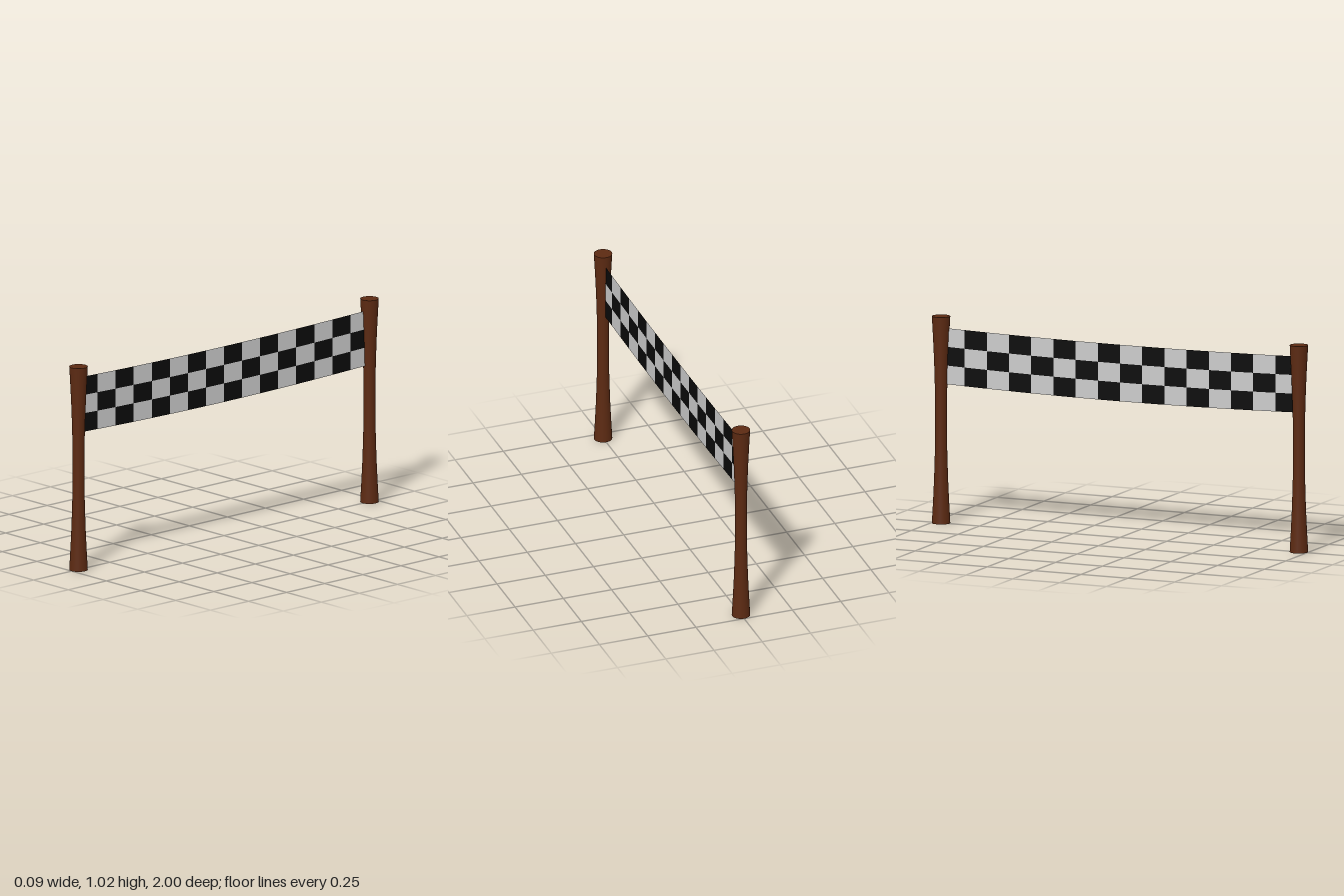
import * as THREE from 'three';

const HEIGHT = 1.02, POST_Z = 0.955;

// Wooden post: waisted turned profile with flat ends
function makePost(name, z) {
  const wood = new THREE.MeshStandardMaterial({ color: 0x5c2a12 });
  const profile = [
    [0.045, 0], [0.039, 0.11], [0.034, 0.22], [0.030, 0.36], [0.029, 0.51],
    [0.030, 0.66], [0.034, 0.80], [0.039, 0.91], [0.045, HEIGHT],
  ].map(([r, y]) => new THREE.Vector2(r, y));
  const post = new THREE.Group();
  post.name = name;
  const shaft = new THREE.Mesh(new THREE.LatheGeometry(profile, 24), wood);
  shaft.name = 'postShaft';
  post.add(shaft);
  for (const top of [true, false]) {
    const cap = new THREE.Mesh(new THREE.CircleGeometry(0.045, 24), wood);
    cap.name = top ? 'postTop' : 'postBase';
    cap.rotation.x = top ? -Math.PI / 2 : Math.PI / 2;
    cap.position.y = top ? HEIGHT : 0;
    post.add(cap);
  }
  post.position.z = z;
  return post;
}

// One colour of the chequered banner, sagging gently between the posts
function makeSquares(name, color, parity) {
  const cols = 16, rows = 3, halfLength = 0.948;
  const point = (c, r) => {
    const t = 1 - (2 * c) / cols;
    const sag = 1 - t * t;
    const top = 0.963 - 0.013 * sag, bottom = 0.687 - 0.016 * sag;
    return [0, THREE.MathUtils.lerp(top, bottom, r / rows), t * halfLength];
  };
  const positions = [];
  for (let c = 0; c < cols; c++) {
    for (let r = 0; r < rows; r++) {
      if ((c + r) % 2 !== parity) continue;
      const a = point(c, r), b = point(c, r + 1), d = point(c + 1, r + 1), e = point(c + 1, r);
      positions.push(...a, ...b, ...d, ...a, ...d, ...e);
    }
  }
  const geometry = new THREE.BufferGeometry();
  geometry.setAttribute('position', new THREE.Float32BufferAttribute(positions, 3));
  geometry.computeVertexNormals();
  const mesh = new THREE.Mesh(geometry, new THREE.MeshStandardMaterial({ color, side: THREE.DoubleSide }));
  mesh.name = name;
  return mesh;
}

export function createModel() {
  const model = new THREE.Group();
  model.name = 'finishLine';
  model.add(makePost('frontPost', POST_Z), makePost('backPost', -POST_Z));

  const banner = new THREE.Group();
  banner.name = 'banner';
  banner.add(
    makeSquares('blackSquares', 0x0a0a0a, 0),
    makeSquares('whiteSquares', 0xcccccc, 1),
  );
  model.add(banner);
  return model;
}
